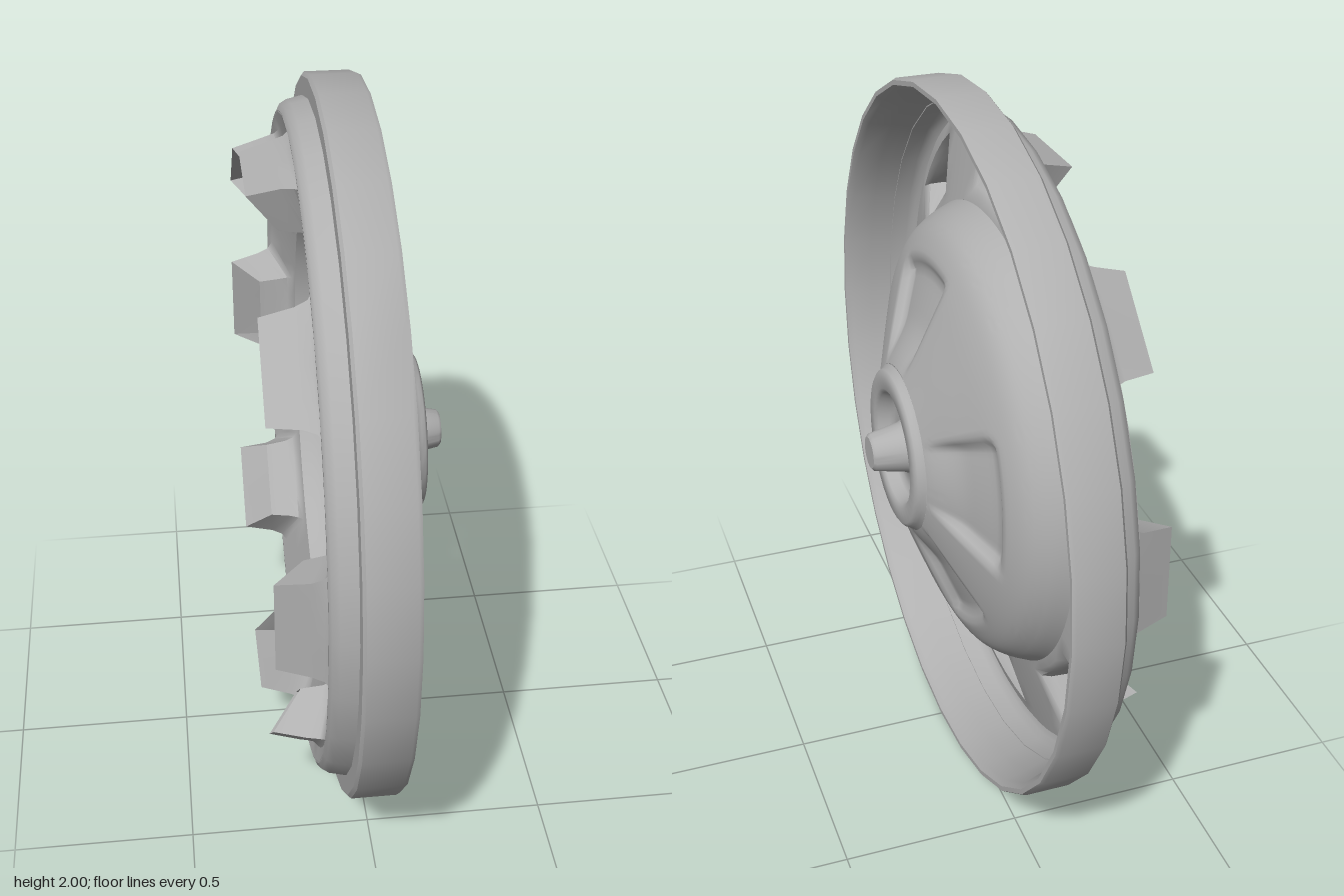
import * as THREE from 'three';
import { toCreasedNormals } from 'three/addons/utils/BufferGeometryUtils.js';

const RAD = Math.PI / 180;

// Polar point on the wheel: radius, clockwise degrees from the top, position along the axle
const polar = (r, deg, x) => [x, r * Math.cos(deg * RAD), -r * Math.sin(deg * RAD)];

const lerp = THREE.MathUtils.lerp;
const smooth = THREE.MathUtils.smoothstep;

// Collects quads and turns them into a creased geometry
function quadBuilder() {
  const pos = [];
  return {
    quad(a, b, c, d) { pos.push(...a, ...d, ...c, ...a, ...c, ...b); },
    build(crease) {
      const g = new THREE.BufferGeometry();
      g.setAttribute('position', new THREE.Float32BufferAttribute(pos, 3));
      return toCreasedNormals(g, crease);
    },
  };
}

// Lathe around the axle from [radius, x] pairs
function spin(profile, segments, crease = 0.6) {
  const g = new THREE.LatheGeometry(profile.map(([r, x]) => new THREE.Vector2(r, x)), segments);
  g.rotateZ(-Math.PI / 2);
  return toCreasedNormals(g, crease);
}

// Sloping ring pierced by eight slots, each with a scoop behind it
function slottedRing() {
  const b = quadBuilder();
  const ringX = (r) => lerp(-0.085, -0.15, (r - 0.655) / 0.245);
  const radii = [0.655, 0.68, 0.77, 0.86, 0.9];
  const offs = [-22.5, -17, -12, -6, 0, 6, 12, 17, 22.5];
  const slotOffs = [-12, -6, 0, 6, 12];

  for (let k = 0; k < 8; k++) {
    const mid = k * 45 - 2;
    for (let i = 0; i < radii.length - 1; i++) {
      for (let j = 0; j < offs.length - 1; j++) {
        const r0 = radii[i], r1 = radii[i + 1];
        if (r0 > 0.67 && r1 < 0.87 && Math.abs(offs[j] + offs[j + 1]) < 24) continue;
        const p = (r, o) => polar(r, mid + o, ringX(r));
        b.quad(p(r0, offs[j]), p(r1, offs[j]), p(r1, offs[j + 1]), p(r0, offs[j + 1]));
      }
    }
    // Scoop loops: [inner r, inner x, outer r, outer x, angular scale, straightness]
    const levels = [
      [0.68, ringX(0.68), 0.86, ringX(0.86), 1, 0],
      [0.692, -0.105, 0.842, -0.153, 0.9, 0.7],
      [0.698, -0.13, 0.832, -0.185, 0.83, 1],
      [0.702, -0.19, 0.81, -0.27, 0.77, 1],
    ].map(([ri, xi, ro, xo, s, flat]) => {
      const at = (r, o, x) => polar(r * lerp(1, 1 / Math.cos(o * s * RAD), flat), mid + o * s, x);
      return [
        ...slotOffs.map((o) => at(ro, o, xo)),
        ...[...slotOffs].reverse().map((o) => at(ri, o, xi)),
      ];
    });
    for (let l = 0; l < levels.length - 1; l++) {
      const A = levels[l], B = levels[l + 1], n = A.length;
      for (let i = 0; i < n; i++) {
        const j = (i + 1) % n;
        b.quad(A[i], A[j], B[j], B[i]);
      }
    }
  }
  return b.build(0.75);
}

// Convex dome with five recessed sector panels
function dome() {
  const b = quadBuilder();
  const profile = new THREE.SplineCurve([
    [0.235, 0.17], [0.28, 0.153], [0.4, 0.108], [0.52, 0.06],
    [0.59, 0.02], [0.63, -0.03], [0.655, -0.085],
  ].map(([r, x]) => new THREE.Vector2(r, x))).getPoints(36);
  const panels = [[-13, 20], [81, 21], [147, 17], [210, 21], [278, 21]];

  const recess = (r, deg) => {
    let side = 0;
    for (const [mid, half] of panels) {
      const d = Math.abs(((deg - mid + 540) % 360) - 180);
      side = Math.max(side, 1 - smooth(d, half - 3, half + 2));
    }
    return 0.032 * side * smooth(r, 0.22, 0.36) * (1 - smooth(r, 0.475, 0.53));
  };
  const p = (v, deg) => polar(v.x, deg, v.y - recess(v.x, deg));
  const step = 2;
  for (let i = 0; i < profile.length - 1; i++) {
    for (let deg = 0; deg < 360; deg += step) {
      const v0 = profile[i], v1 = profile[i + 1], next = (deg + step) % 360;
      b.quad(p(v0, deg), p(v1, deg), p(v1, next), p(v0, next));
    }
  }
  return b.build(0.8);
}

export function createModel() {
  const metal = new THREE.MeshStandardMaterial({ color: 0xb0b0b0, side: THREE.DoubleSide });
  metal.name = 'grey metal';

  const cover = new THREE.Group();
  cover.name = 'wheelCover';
  cover.position.y = 1;
  const add = (name, geometry) => {
    const mesh = new THREE.Mesh(geometry, metal);
    mesh.name = name;
    cover.add(mesh);
  };

  // Outer band folded over the front edge, and the wall leading down to the ring
  add('outerBand', spin([[0.935, -0.08], [0.99, -0.08], [1, -0.072], [1, 0.05], [0.995, 0.06], [0.982, 0.06]], 32));
  add('innerWall', spin([[0.982, 0.06], [0.968, 0.045], [0.955, -0.02], [0.938, -0.08],
    [0.928, -0.125], [0.917, -0.143], [0.898, -0.15]], 32, 0.8));

  add('slottedRing', slottedRing());
  add('dome', dome());

  // Raised hub ring, dish and central stud
  add('hub', spin([[0.235, 0.17], [0.226, 0.18], [0.222, 0.19], [0.212, 0.197], [0.17, 0.197], [0.158, 0.19],
    [0.145, 0.16], [0.13, 0.15], [0.09, 0.15], [0.076, 0.156], [0.07, 0.17],
    [0.053, 0.255], [0.045, 0.262], [0, 0.262]], 40, 0.7));

  const model = new THREE.Group();
  model.name = 'hubcap';
  model.add(cover);
  return model;
}
